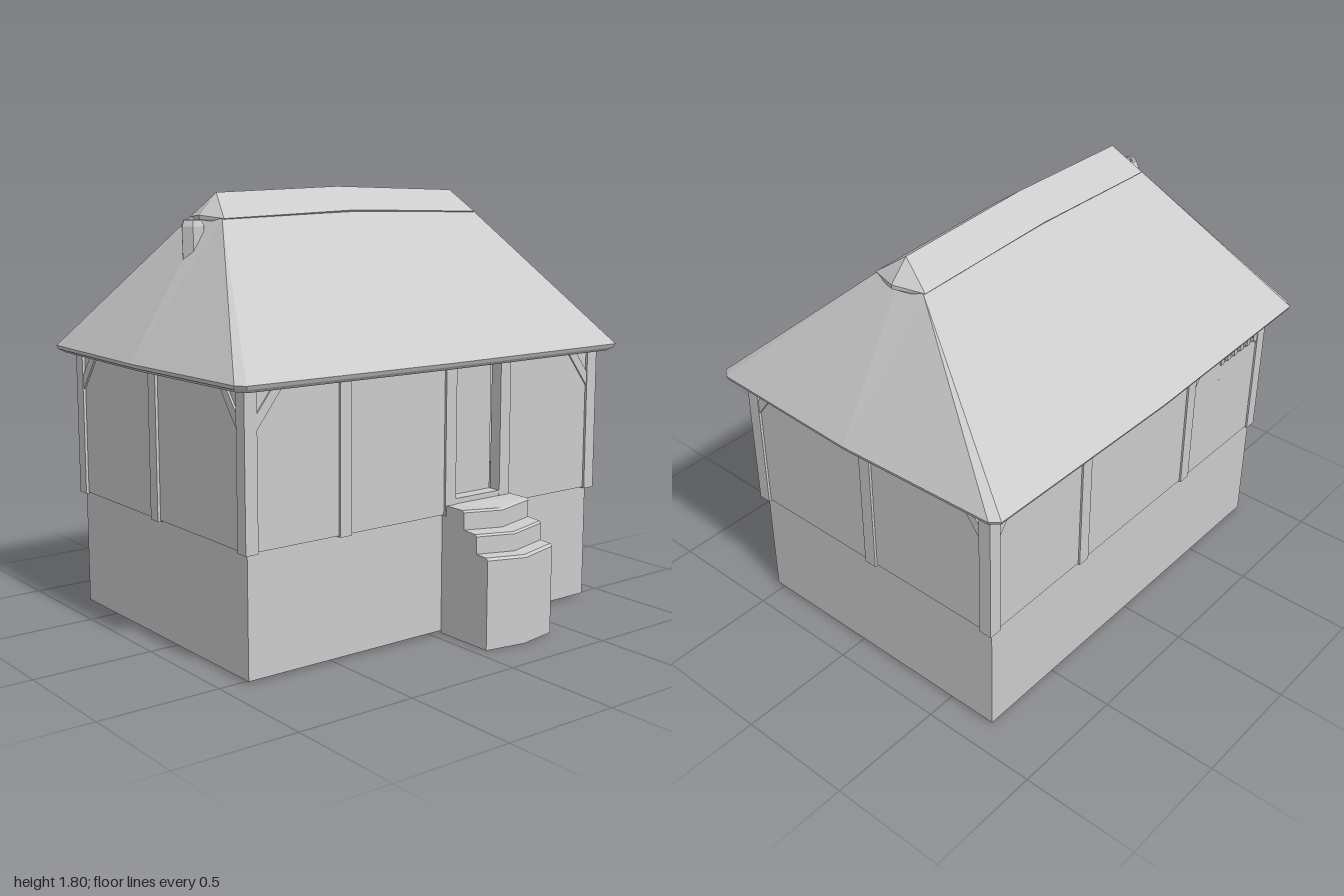
import * as THREE from 'three';

const mat = new THREE.MeshStandardMaterial({ color: 0xcccccc, flatShading: true, side: THREE.DoubleSide });

export function createModel() {
  const model = new THREE.Group();

  const add = (name, geometry, parent = model) => {
    const mesh = new THREE.Mesh(geometry, mat);
    mesh.name = name;
    parent.add(mesh);
    return mesh;
  };
  const group = (name) => {
    const g = new THREE.Group();
    g.name = name;
    model.add(g);
    return g;
  };
  // Box given by its bounds
  const box = (name, x0, x1, y0, y1, z0, z1, parent) =>
    add(name, new THREE.BoxGeometry(x1 - x0, y1 - y0, z1 - z0), parent)
      .position.set((x0 + x1) / 2, (y0 + y1) / 2, (z0 + z1) / 2);
  // Upright panel running from (ax, az) to (bx, bz), facing right of that run
  const panel = (name, ax, az, bx, bz, y0, y1, parent) => {
    const mesh = add(name, new THREE.PlaneGeometry(Math.hypot(bx - ax, bz - az), y1 - y0), parent);
    mesh.position.set((ax + bx) / 2, (y0 + y1) / 2, (az + bz) / 2);
    mesh.rotation.y = -Math.atan2(bz - az, bx - ax);
  };
  // Skin through cross-sections of equal point count, listed bottom to top
  const loft = (rings, closed, capTop) => {
    const pos = [];
    const n = rings[0].length;
    for (let r = 0; r + 1 < rings.length; r++) {
      for (let i = 0; i < (closed ? n : n - 1); i++) {
        const j = (i + 1) % n, [a, b] = [rings[r], rings[r + 1]];
        pos.push(...a[i], ...a[j], ...b[j], ...a[i], ...b[j], ...b[i]);
      }
    }
    const top = rings[rings.length - 1];
    if (capTop) for (let i = 1; i + 1 < n; i++) pos.push(...top[0], ...top[i], ...top[i + 1]);
    const g = new THREE.BufferGeometry();
    g.setAttribute('position', new THREE.Float32BufferAttribute(pos, 3));
    g.computeVertexNormals();
    return g;
  };

  // Stone base, open below and behind the steps
  const base = group('base');
  const [bl, br, bf, bb] = [-0.89, 0.88, 0.53, -0.72];
  [[bl, bf, 0.05, bf], [0.405, bf, br, bf], [br, bf, br, bb], [br, bb, bl, bb], [bl, bb, bl, bf]]
    .forEach((w) => panel('baseWall', ...w, 0.01, 0.505, base));

  // Upper walls with gaps for the door and the vent
  const walls = group('upperWalls');
  const [wl, wr, wf, wb] = [-0.9, 0.892, 0.545, -0.727];
  const [y0, y1] = [0.5, 1.12];
  [[wl, wf, 0.1, wf], [0.34, wf, wr, wf], [wr, wf, wr, wb], [wl, wb, wl, wf],
    [wr, wb, -0.58, wb], [-0.85, wb, wl, wb]].forEach((w) => panel('upperWall', ...w, y0, y1, walls));
  panel('wallBelowVent', -0.58, wb, -0.85, wb, y0, 0.97, walls);
  panel('wallAboveVent', -0.58, wb, -0.85, wb, 1.08, y1, walls);

  // Vertical vent bars
  for (let i = 0; i < 6; i++) {
    const x = -0.85 + i * 0.05;
    box('ventBar', x, x + 0.022, 0.97, 1.08, wb - 0.006, wb + 0.02, walls);
  }

  // Timber posts
  const frame = group('timberFrame');
  const t = 0.055;
  const [pl, pr, pf, pb] = [-0.912, 0.903, 0.555, -0.735];
  const post = (x, z) => box('post', x, x + t, 0.495, y1, z, z + t, frame);
  for (const x of [pl, pr - t]) for (const z of [pb, -0.128, pf - t]) post(x, z);
  for (const x of [-0.483, 0.045, 0.34]) post(x, pf - t);
  for (const x of [-0.39, 0.31]) post(x, pb);

  // Diagonal braces below the eaves; dx, dz give the direction away from the post
  const brace = (x, z, dx, dz) => {
    const s = new THREE.Shape([[0, 0.95], [0.13, 1.12], [0.085, 1.12], [0, 1.01]].map((p) => new THREE.Vector2(...p)));
    const g = new THREE.ExtrudeGeometry(s, { depth: 0.03, bevelEnabled: false });
    g.translate(0, 0, -0.015);
    const mesh = add('brace', g, frame);
    mesh.position.set(x, 0, z);
    mesh.rotation.y = Math.atan2(-dz, dx);
  };
  for (const [x, sx] of [[pl, 1], [pr, -1]]) {
    for (const [z, sz] of [[pf, -1], [pb, 1]]) {
      brace(x + sx * t, z + sz * 0.018, sx, 0);
      brace(x + sx * 0.018, z + sz * t, 0, sz);
    }
  }
  brace(-0.39, pb + 0.018, -1, 0);

  // Recessed door and its sill
  panel('door', 0.1, 0.495, 0.34, 0.495, 0.5, y1);
  box('doorSill', 0.1, 0.34, 0.5, 0.56, 0.495, 0.553);

  // Three steps with a bent front edge
  const tread = (y, z) => [[0.05, 0.53, 0], [0.05, z - 0.03, 0], [0.23, z, -0.01], [0.405, z - 0.03, 0], [0.405, 0.53, 0]]
    .map(([x, zz, drop]) => [x, y > 0 ? y + drop : 0, zz]);
  add('steps', loft([
    tread(0, 0.83), tread(0.365, 0.83), tread(0.375, 0.82),
    tread(0.378, 0.765), tread(0.448, 0.765), tread(0.456, 0.757),
    tread(0.46, 0.69), tread(0.53, 0.69), tread(0.538, 0.68),
  ], false, true));

  // Hipped roof with slightly bowed eaves and clipped corners
  const zc = -0.1;
  const eave = [[-0.945, 0.725], [0, 0.742], [0.945, 0.725], [0.975, 0.69], [1, 0], [0.975, -0.69],
    [0.945, -0.725], [0, -0.742], [-0.945, -0.725], [-0.975, -0.69], [-1, 0], [-0.975, 0.69]];
  const eaveRing = (y, sx, sz) => eave.map(([x, z]) => [x * sx, y, zc + z * sz]);
  const roofTop = eave.map(([x, z]) => [
    x > 0 ? 0.67 : x < 0 ? -0.65 : 0,
    x === 0 || z === 0 ? 1.695 : 1.68,
    zc + Math.sign(z) * 0.12,
  ]);
  add('roof', loft([
    eaveRing(1.105, 0.89, 0.86), eaveRing(1.1, 0.97, 0.96), eaveRing(1.115, 0.995, 0.99),
    eaveRing(1.13, 1, 1), roofTop,
  ], true, true));

  // Ridge cap with a sagging top line and pointed ends
  const rim = (y, w) => [[-0.645, 0, w], [0, 0.02, w], [0.665, 0, w], [0.71, 0.01, 0],
    [0.665, 0, -w], [0, 0.02, -w], [-0.645, 0, -w], [-0.68, 0.01, 0]]
    .map(([x, dy, z]) => [x, y + dy, zc + z]);
  const [rl, rm, rr] = [[-0.6, 1.78, zc], [0, 1.797, zc], [0.63, 1.775, zc]];
  add('ridgeCap', loft([rim(1.665, 0.11), rim(1.682, 0.125), [rl, rm, rr, rr, rr, rm, rl, rl]], true, false));

  // Six-sided chimney pot with a hollow mouth
  const pot = [[0.043, 1.42], [0.047, 1.5], [0.05, 1.65], [0.04, 1.675], [0.026, 1.675], [0.026, 1.6], [0, 1.6]]
    .map((p) => new THREE.Vector2(...p));
  const chimney = add('chimney', new THREE.LatheGeometry(pot, 6, Math.PI / 2));
  chimney.position.set(-0.71, 0, zc);

  return model;
}
